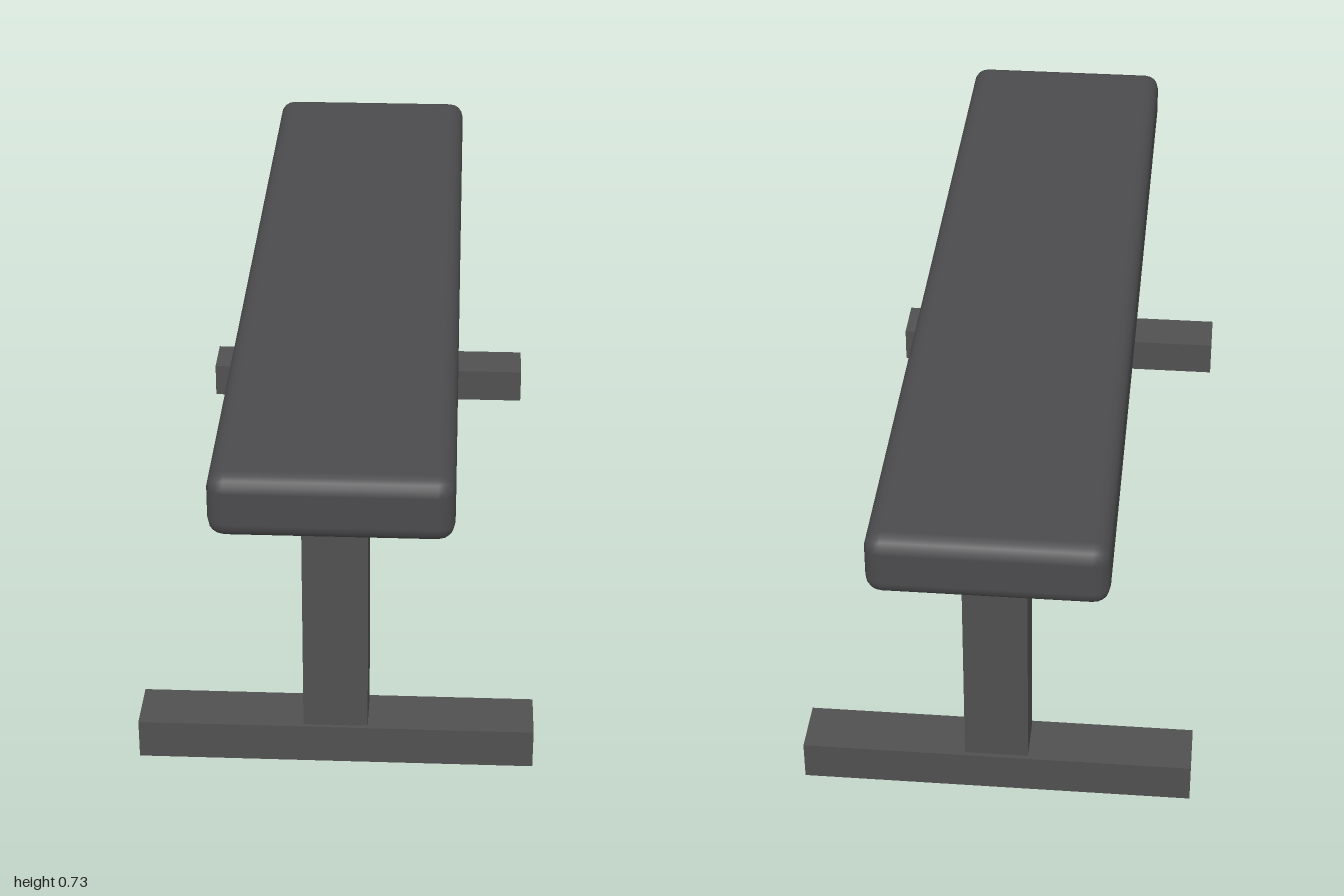
import * as THREE from 'three';
import { RoundedBoxGeometry } from 'three/addons/geometries/RoundedBoxGeometry.js';

export function createModel() {
  const bench = new THREE.Group();
  bench.name = 'flatBench';

  const padding = new THREE.MeshStandardMaterial({ color: 0x4b4b4d });
  padding.name = 'charcoal padding';
  const steel = new THREE.MeshStandardMaterial({ color: 0x505051 });
  steel.name = 'dark grey steel';

  const add = (name, geometry, material, y, z = 0) => {
    const mesh = new THREE.Mesh(geometry, material);
    mesh.name = name;
    mesh.position.set(0, y, z);
    bench.add(mesh);
  };

  // Soft-edged pad resting on the spine beam
  add('pad', new RoundedBoxGeometry(0.466, 0.132, 2, 2, 0.033), padding, 0.668);
  add('spineBeam', new THREE.BoxGeometry(0.13, 0.1, 1.664), steel, 0.552);

  // An upright and a wide foot at each end
  for (const [end, side] of [['front', 1], ['back', -1]]) {
    add(`${end}Leg`, new THREE.BoxGeometry(0.13, 0.451, 0.1), steel, 0.3085, side * 0.8);
    add(`${end}Foot`, new THREE.BoxGeometry(0.8, 0.083, 0.117), steel, 0.0415, side * 0.8);
  }

  return bench;
}
